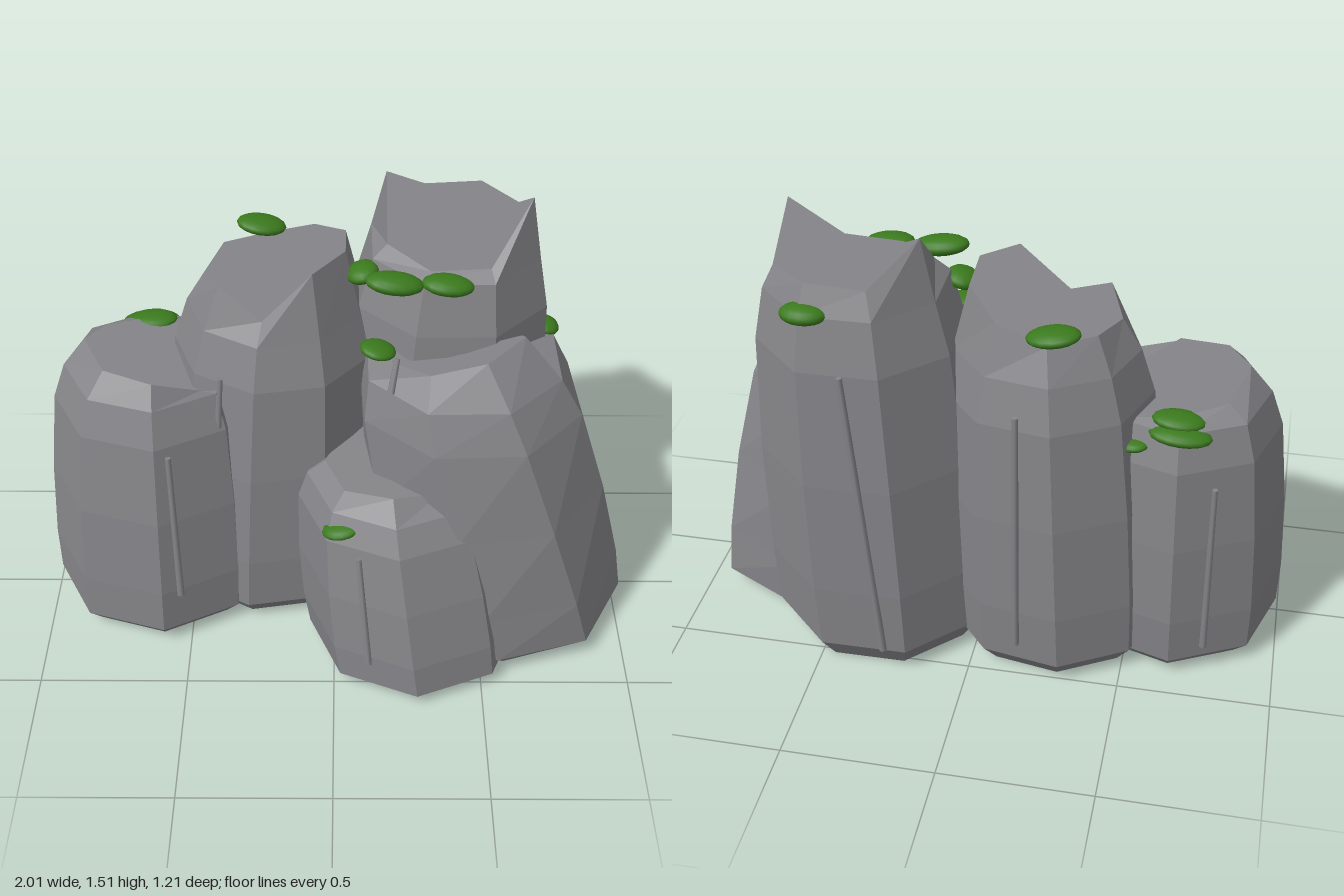
import * as THREE from 'three';

const stone = new THREE.MeshStandardMaterial({ color: 0x858589, side: THREE.DoubleSide });
const moss = new THREE.MeshStandardMaterial({ color: 0x3b7a1d });

// Shared pillar outline: [height fraction, radius fraction]
const profile = [[0, 0.83], [0.06, 0.985], [0.22, 1], [0.5, 0.97], [0.78, 0.895], [0.9, 0.785]];

// A leaning, faceted shell, open below, with a jagged rim and an evenly shaded cap
function pillarGeometry({ base, top, r, rimR, turn, twist = 0, h, rim }) {
  const n = rim.length;
  const ring = (f, radius, yOf) => rim.map((_, i) => {
    const a = THREE.MathUtils.degToRad(turn + twist * f) + (i / n) * Math.PI * 2;
    return [
      base[0] + (top[0] - base[0]) * f + Math.cos(a) * radius,
      yOf(i),
      base[1] + (top[1] - base[1]) * f + Math.sin(a) * radius,
    ];
  });
  const rings = profile.map(([f, k]) => ring(f, r * k, () => f * h));
  rings.push(ring(1, rimR, (i) => rim[i]));
  const last = rings[rings.length - 1];
  const centre = [top[0], rim.reduce((s, y) => s + y, 0) / n - 0.02, top[1]];

  const walls = [], cap = [];
  for (let i = 0; i < n; i++) {
    const j = (i + 1) % n;
    for (let k = 0; k < rings.length - 1; k++) {
      const lo = rings[k], up = rings[k + 1];
      walls.push(...lo[i], ...up[i], ...lo[j], ...lo[j], ...up[i], ...up[j]);
    }
    cap.push(...centre, ...last[j], ...last[i]);
  }
  const g = new THREE.BufferGeometry();
  g.setAttribute('position', new THREE.Float32BufferAttribute([...walls, ...cap], 3));
  g.computeVertexNormals();
  for (let v = walls.length / 3; v < g.attributes.position.count; v++) g.attributes.normal.setXYZ(v, 0, 1, 0);
  return g;
}

const pillars = {
  leftPillar: {
    base: [-0.625, -0.045], top: [-0.61, -0.09], r: 0.375, rimR: 0.22, turn: -5, h: 1.03,
    rim: [0.9, 0.9, 0.98, 1.0, 1.02, 0.97, 0.95, 0.93],
  },
  middlePillar: {
    base: [-0.24, -0.16], top: [-0.19, -0.19], r: 0.38, rimR: 0.24, turn: 20, h: 1.23,
    rim: [1.34, 1.33, 1.17, 1.25, 1.21, 1.23, 1.22, 1.27, 1.32],
  },
  backPillar: {
    base: [0.34, -0.23], top: [0.4, -0.25], r: 0.375, rimR: 0.25, turn: 22, h: 1.44,
    rim: [1.51, 1.33, 1.32, 1.34, 1.5, 1.38, 1.39, 1.37],
  },
  rightPillar: {
    base: [0.61, 0.045], top: [0.4, -0.01], r: 0.43, rimR: 0.23, turn: 4, twist: 20, h: 1.11,
    rim: [1.14, 1.12, 1.07, 1.03, 1.06, 1.0, 1.0, 1.03],
  },
  frontPillar: {
    base: [0.285, 0.25], top: [0.19, 0.155], r: 0.37, rimR: 0.22, turn: 0, h: 0.72,
    rim: [0.67, 0.68, 0.71, 0.69, 0.69, 0.7, 0.71, 0.71],
  },
};

// Moss pads: centre, radii, sideways tilt
const mossPads = [
  [[-0.25, 1.255, -0.42], [0.085, 0.027, 0.06], -0.15],
  [[0.19, 1.3, 0.02], [0.095, 0.032, 0.055], -0.12],
  [[0.36, 1.295, 0.02], [0.085, 0.03, 0.055], -0.1],
  [[0.09, 1.26, -0.11], [0.055, 0.03, 0.06], 0.25],
  [[0.14, 1.08, 0.07], [0.06, 0.022, 0.055], -0.2],
  [[0.025, 0.595, 0.39], [0.065, 0.022, 0.05], 0.2],
  [[0.71, 1.01, -0.18], [0.045, 0.025, 0.05], -0.3],
  [[0.49, 1.3, -0.505], [0.075, 0.032, 0.055], 0],
  [[-0.64, 0.91, -0.35], [0.1, 0.027, 0.055], 0.05],
  [[-0.63, 0.94, -0.31], [0.085, 0.025, 0.055], 0.05],
  [[-0.5, 0.86, -0.355], [0.045, 0.018, 0.035], -0.1],
];

// Raised stone veins: top end, bottom end
const veins = [
  [[-0.54, 0.77, 0.245], [-0.525, 0.22, 0.305]],
  [[-0.37, 0.99, 0.11], [-0.385, 0.76, 0.14]],
  [[0.34, 0.85, 0.345], [0.37, 0.65, 0.39]],
  [[0.2, 1.1, 0.15], [0.18, 1.0, 0.2]],
  [[0.08, 0.54, 0.475], [0.115, 0.15, 0.56]],
  [[-0.76, 0.74, -0.375], [-0.765, 0.12, -0.385]],
  [[-0.16, 1.04, -0.55], [-0.165, 0.16, -0.54]],
  [[0.37, 1.13, -0.575], [0.27, 0.1, -0.585]],
];

export function createModel() {
  const model = new THREE.Group();
  model.name = 'rockCluster';
  const add = (name, geometry, material) => {
    const mesh = new THREE.Mesh(geometry, material);
    mesh.name = name;
    model.add(mesh);
    return mesh;
  };

  for (const [name, spec] of Object.entries(pillars)) add(name, pillarGeometry(spec), stone);

  const pad = new THREE.SphereGeometry(1, 16, 10);
  mossPads.forEach(([p, s, tilt], i) => {
    const m = add(`mossPad${i + 1}`, pad, moss);
    m.position.set(...p);
    m.scale.set(...s);
    m.rotation.z = tilt;
  });

  veins.forEach(([a, b], i) => {
    const path = new THREE.LineCurve3(new THREE.Vector3(...b), new THREE.Vector3(...a));
    const v = path.v2.clone().sub(path.v1);
    const m = add(`stoneVein${i + 1}`, new THREE.CylinderGeometry(0.01, 0.013, v.length(), 6), stone);
    m.position.copy(path.getPoint(0.5));
    m.quaternion.setFromUnitVectors(new THREE.Vector3(0, 1, 0), v.normalize());
  });

  return model;
}
